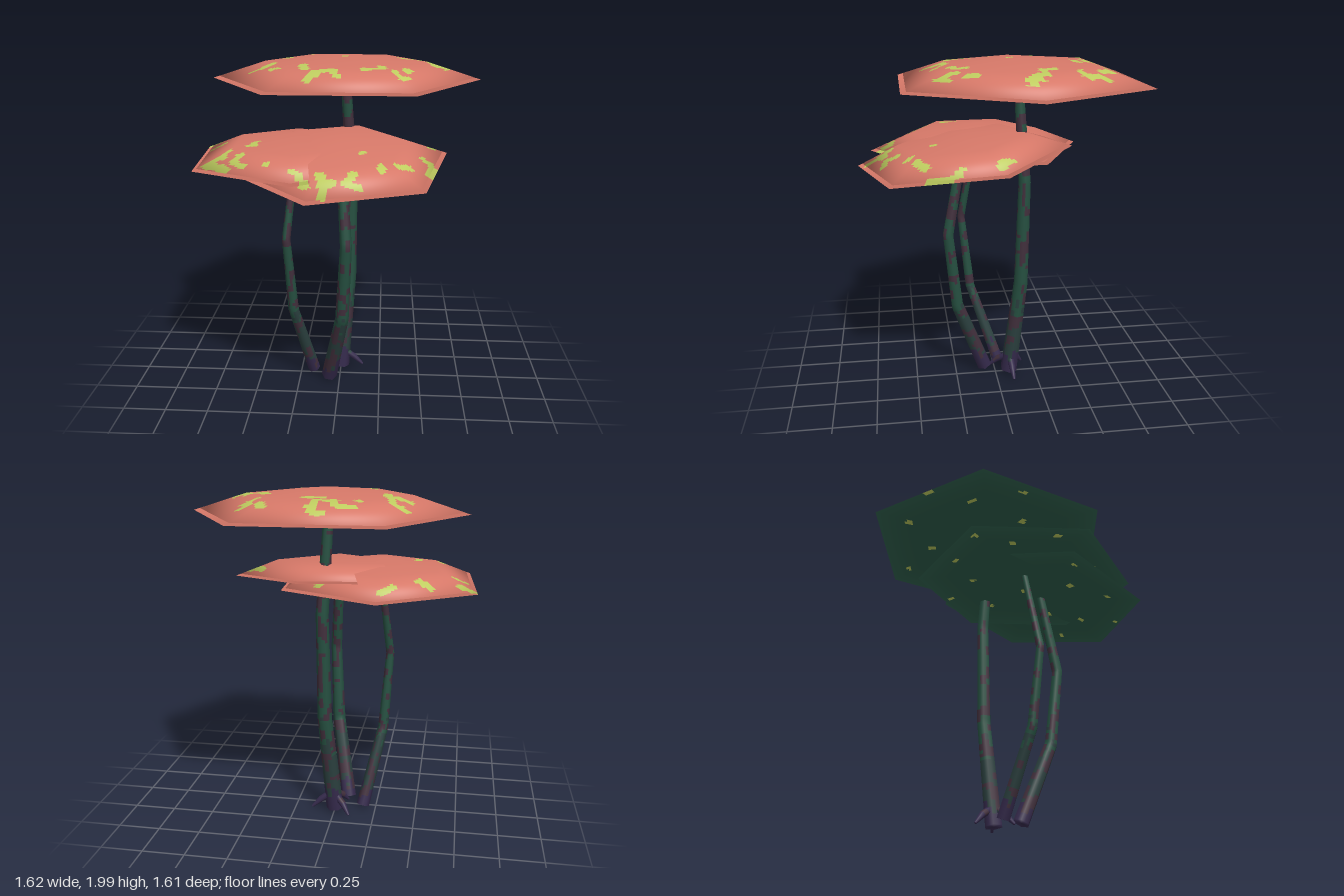
import * as THREE from 'three';

const mat = (name, color) => Object.assign(new THREE.MeshStandardMaterial({ color }), { name });

// Smooth repeatable noise for ragged patch edges
const hash = (x, y, z) => {
  const s = Math.sin(x * 127.1 + y * 311.7 + z * 74.7) * 43758.5453;
  return s - Math.floor(s);
};
function noise(x, y, z) {
  const i = [x, y, z].map(Math.floor);
  const f = [x - i[0], y - i[1], z - i[2]].map(t => t * t * (3 - 2 * t));
  let sum = 0;
  for (let k = 0; k < 8; k++) {
    const b = [k & 1, (k >> 1) & 1, k >> 2];
    const w = b.reduce((p, on, j) => p * (on ? f[j] : 1 - f[j]), 1);
    sum += w * hash(i[0] + b[0], i[1] + b[1], i[2] + b[2]);
  }
  return sum;
}

// Grid of rows x columns whose quads are sorted into material groups
function gridMesh(name, rows, cols, point, pick, materials) {
  const pos = [], nor = [], lists = materials.map(() => []);
  for (let r = 0; r <= rows; r++)
    for (let c = 0; c <= cols; c++) {
      const [p, n] = point(r, c);
      pos.push(p.x, p.y, p.z);
      nor.push(n.x, n.y, n.z);
    }
  const at = i => new THREE.Vector3().fromArray(pos, i * 3);
  for (let r = 0; r < rows; r++)
    for (let c = 0; c < cols; c++) {
      const a = r * (cols + 1) + c, b = a + 1, d = a + cols + 1, e = d + 1;
      lists[pick(at(a).add(at(e)).multiplyScalar(0.5), r)].push(a, b, d, b, e, d);
    }
  const g = new THREE.BufferGeometry();
  g.setAttribute('position', new THREE.Float32BufferAttribute(pos, 3));
  g.setAttribute('normal', new THREE.Float32BufferAttribute(nor, 3));
  let start = 0;
  lists.forEach((l, i) => { g.addGroup(start, l.length, i); start += l.length; });
  g.setIndex(lists.flat());
  const mesh = new THREE.Mesh(g, materials);
  mesh.name = name;
  return mesh;
}

// Spot strokes: polylines of x, z pairs in plan
const bigSpots = [
  [-0.18, -0.6, -0.1, -0.59, -0.07, -0.52, 0.02, -0.52, 0.03, -0.6, 0.02, -0.66, -0.03, -0.67], [0, -0.45, 0.09, -0.46],
  [-0.195, -0.52], [0.29, -0.6, 0.31, -0.53], [0.42, -0.53, 0.38, -0.5, 0.42, -0.43, 0.36, -0.4],
  [-0.42, -0.45, -0.36, -0.4, -0.33, -0.31, -0.31, -0.21], [-0.44, -0.29, -0.34, -0.29],
  [0.34, -0.26, 0.37, -0.2, 0.46, -0.2, 0.51, -0.13, 0.6, -0.11], [0.54, -0.1, 0.54, -0.16], [0.025, -0.085],
  [-0.49, 0.03, -0.38, 0], [-0.37, 0.1, -0.34, 0.13], [-0.2, 0.13, -0.18, 0.2, -0.17, 0.27],
  [-0.14, 0.4, -0.12, 0.31, -0.03, 0.28, 0, 0.34], [-0.18, 0.26], [0.15, 0.27, 0.24, 0.25, 0.23, 0.2],
  [0.38, 0.15, 0.37, 0.19], [0.3, 0.26, 0.34, 0.34, 0.37, 0.29],
];
const frontSpots = [
  [-0.17, 0.56, -0.14, 0.66], [-0.06, 0.6, -0.05, 0.74], [-0.04, 0.67, 0, 0.63], [0.14, 0.65, 0.06, 0.63, 0.1, 0.56],
  [0.5, 0.42, 0.53, 0.3, 0.47, 0.24], [0.33, 0.46, 0.4, 0.42], [0.44, -0.03, 0.52, 0.04], [0.25, 0.5],
  [0.15, 0.35], [-0.3, 0.45, -0.36, 0.5],
];
const leftSpots = [
  [-0.7, 0.42, -0.62, 0.37, -0.59, 0.31], [-0.68, 0.43, -0.57, 0.48], [-0.52, 0.38, -0.54, 0.43, -0.49, 0.48],
  [-0.47, 0.27, -0.46, 0.2], [-0.74, 0, -0.68, -0.02], [-0.8, -0.15, -0.72, -0.17], [-0.2, 0.6, -0.14, 0.66],
  [-0.36, 0.5], [-0.56, -0.26, -0.5, -0.22], [-0.36, -0.34, -0.3, -0.42], [0.1, -0.2, 0.05, -0.27],
];
function strokeDistance(strokes, x, z) {
  let best = 9;
  for (const s of strokes)
    for (let i = 0; i < Math.max(1, s.length / 2 - 1); i++) {
      const [ax, az, bx = ax, bz = az] = s.slice(i * 2, i * 2 + 4);
      const dx = bx - ax, dz = bz - az;
      const t = THREE.MathUtils.clamp(((x - ax) * dx + (z - az) * dz) / (dx * dx + dz * dz || 1), 0, 1);
      best = Math.min(best, Math.hypot(x - ax - dx * t, z - az - dz * t));
    }
  return best;
}

// Sparse dots spiralling over a cap's underside, as shares of its radius
const underDots = Array.from({ length: 13 }, (_, i) => {
  const r = 0.25 + 0.6 * Math.sqrt(i / 12);
  return [Math.cos(i * 2.4) * r, Math.sin(i * 2.4) * r];
});

// Closed cap profile: radius share, height, normal outward, normal up, rows to next
const profile = [
  [0, 0.14, 0, 1, 32], [0.6, 0.1, 0.15, 0.98, 24], [0.955, 0.011, 0.97, 0.22, 0], [0.955, 0.011, -0.35, 0.9, 2],
  [1, 0, -0.35, 0.9, 0], [1, 0, 0.8, -0.6, 14], [0.67, 0.022, 0.1, -1, 18], [0, 0.028, 0, -1, 0],
];

function cap(name, x, y, z, radius, turn, tilt, strokes, materials) {
  const rows = [];
  profile.forEach((p, i) => {
    const q = profile[i + 1];
    for (let k = 0; k < p[4]; k++) rows.push(p.map((v, j) => v + (q[j] - v) * k / p[4]));
    if (!p[4]) rows.push(p);
  });
  const rim = rows.findIndex(r => r[0] === 1), per = 24;
  const point = (r, c) => {
    const [share, h, out, up] = rows[r];
    const side = Math.floor(c / per), f = (c % per) / per;
    const a = turn + side * Math.PI / 3, b = a + Math.PI / 3;
    const dx = Math.cos(a) * (1 - f) + Math.cos(b) * f, dz = Math.sin(a) * (1 - f) + Math.sin(b) * f;
    return [
      new THREE.Vector3(dx * radius * share, h, dz * radius * share),
      new THREE.Vector3(dx * out, up, dz * out).normalize(),
    ];
  };
  const pick = (p, r) => {
    const px = p.x + x, pz = p.z + z;
    if (r <= rim) {
      const wobble = (noise(px * 32, 3, pz * 32) - 0.5) * 0.026;
      return strokeDistance(strokes, px, pz) + wobble < 0.025 ? 1 : 0;
    }
    return strokeDistance(underDots, p.x / radius, p.z / radius) < 0.03 ? 1 : 2;
  };
  const mesh = gridMesh(name, rows.length - 1, per * 6, point, pick, materials);
  mesh.position.set(x, y, z);
  mesh.rotation.x = tilt;
  return mesh;
}

// Six-sided tapering stalk through [x, y, z, radius] points, listed top first
function stalk(name, points, step, materials) {
  const rows = [];
  points.forEach((p, i) => {
    const q = points[i + 1];
    const n = q ? Math.ceil(Math.abs(p[1] - q[1]) / step) : 1;
    for (let k = 0; k < n; k++) rows.push(q ? p.map((v, j) => v + (q[j] - v) * k / n) : p);
  });
  const end = rows.length - 1;
  const centres = rows.map(r => new THREE.Vector3(r[0], r[1], r[2]));
  // Each ring is square to the stalk's direction
  const frames = centres.map((_, i) => {
    const dir = centres[Math.max(0, i - 1)].clone().sub(centres[Math.min(end, i + 1)]).normalize();
    return new THREE.Quaternion().setFromUnitVectors(new THREE.Vector3(0, 1, 0), dir);
  });
  const point = (r, c) => {
    const i = Math.min(r, end), rad = r > end ? 0 : rows[i][3];
    const half = c % 2, ang = c * Math.PI / 6, k = rad * (half ? Math.cos(Math.PI / 6) : 1);
    const p = new THREE.Vector3(Math.cos(ang) * k, 0, Math.sin(ang) * k).applyQuaternion(frames[i]);
    const n = new THREE.Vector3(Math.cos(ang), rad ? 0 : -1, Math.sin(ang)).normalize().applyQuaternion(frames[i]);
    return [p.add(centres[i]), n];
  };
  const pick = p => {
    const n = noise(p.x * 32 + 5, p.y * 20, p.z * 32 + 9);
    if (p.y + (n - 0.5) * 0.2 < 0.11) return 2;
    if (n > 0.58) return 1;
    return p.y + (n - 0.5) * 0.5 < 0.42 ? 3 : 0;
  };
  return gridMesh(name, end + 1, 12, point, pick, materials);
}

export function createModel() {
  const model = new THREE.Group();
  model.name = 'mushroomCluster';
  const capMats = [mat('coral', 0xd67868), mat('lime', 0xbecc5f), mat('deepGreen', 0x2f5f4c)];
  const stalkMats = [mat('stalkGreen', 0x265041), mat('plum', 0x42303d), mat('indigo', 0x352a4c), mat('slate', 0x2b403f)];

  // Caps
  model.add(
    cap('tallCap', 0.025, 1.86, -0.133, 0.78, 0, 0, bigSpots, capMats),
    cap('frontCap', 0.014, 1.437, 0.19, 0.63, 0.755, 0.12, frontSpots, capMats),
    cap('sideCap', -0.246, 1.435, 0.093, 0.63, 0.46, 0, leftSpots, capMats),
  );

  // Stalks
  model.add(
    stalk('tallStalk', [[0.022, 1.92, -0.125, 0.028], [0.06, 1.28, -0.165, 0.038], [0.05, 0.64, -0.15, 0.044], [0, 0.02, -0.085, 0.054]], 0.02, stalkMats),
    stalk('frontStalk', [[0.014, 1.5, 0.19, 0.028], [0.05, 0.97, 0.29, 0.034], [0.025, 0.5, 0.24, 0.04], [-0.065, 0.025, 0.065, 0.048]], 0.02, stalkMats),
    stalk('sideStalk', [[-0.246, 1.5, 0.09, 0.02], [-0.305, 0.97, 0.18, 0.025], [-0.275, 0.5, 0.13, 0.032], [-0.17, 0.02, -0.03, 0.04]], 0.02, stalkMats),
  );

  // Small roots around the tall stalk
  for (const [x, z] of [[0.14, -0.1], [-0.1, -0.18], [-0.07, 0.03]])
    model.add(stalk('root', [
      [0.01, 0.13, -0.09, 0.022], [x * 0.6, 0.075, -0.09 + (z + 0.09) * 0.6, 0.02], [x, 0.02, z, 0.008],
    ], 0.02, stalkMats));

  return model;
}
